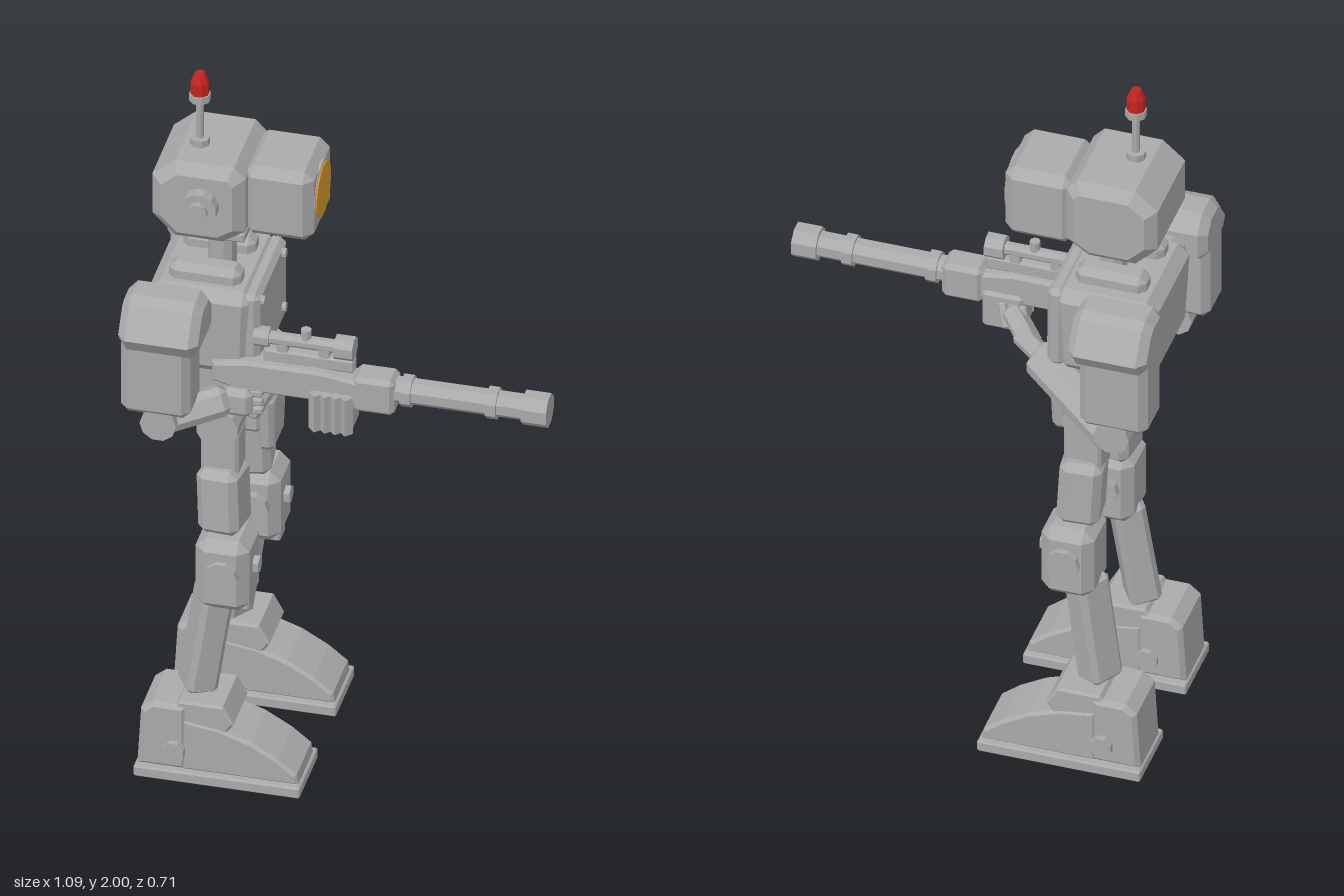
import * as THREE from 'three';
import { ConvexGeometry } from 'three/addons/geometries/ConvexGeometry.js';

const mat = (name, color) => {
  const m = new THREE.MeshStandardMaterial({ color });
  m.name = name;
  return m;
};

export function createModel() {
  const metal = mat('grey metal', 0xaaaaaa);
  const red = mat('signal red', 0xc42420);
  const amber = mat('lens amber', 0xd6982a);
  const root = new THREE.Group();
  root.name = 'robot';

  const add = (parent, name, geo, material = metal) => {
    const m = new THREE.Mesh(geo, material);
    m.name = name;
    parent.add(m);
    return m;
  };

  // Box with chamfered edges; tx, tz scale the lower end
  const chamfer = (w, h, d, c, tx = 1, tz = 1) => {
    const pts = [];
    for (const sx of [-1, 1]) for (const sy of [-1, 1]) for (const sz of [-1, 1]) {
      for (const [a, b, e] of [[0, c, c], [c, 0, c], [c, c, 0]]) {
        const kx = sy < 0 ? tx : 1, kz = sy < 0 ? tz : 1;
        pts.push(new THREE.Vector3(sx * (w / 2 - a) * kx, sy * (h / 2 - b), sz * (d / 2 - e) * kz));
      }
    }
    return new ConvexGeometry(pts);
  };

  // Chamfered box given by its limits
  const block = (parent, name, [x0, x1], [y0, y1], [z0, z1], c = 0.012, tx = 1, tz = 1) => {
    const m = add(parent, name, chamfer(x1 - x0, y1 - y0, z1 - z0, c, tx, tz));
    m.position.set((x0 + x1) / 2, (y0 + y1) / 2, (z0 + z1) / 2);
    return m;
  };

  // Cylinder along an axis
  const rod = (parent, name, axis, pos, r, len, sides = 8, r2 = r, material = metal) => {
    const g = new THREE.CylinderGeometry(r2, r, len, sides).toNonIndexed();
    g.computeVertexNormals();
    g.rotateY(Math.PI / sides);
    if (axis === 'x') g.rotateZ(-Math.PI / 2);
    if (axis === 'z') g.rotateX(Math.PI / 2);
    const m = add(parent, name, g, material);
    m.position.set(...pos);
    return m;
  };

  // Chamfered bar between two points
  const link = (parent, name, a, b, w, d, c = 0.015) => {
    const p = new THREE.Vector3(...a), q = new THREE.Vector3(...b);
    const m = add(parent, name, chamfer(w, p.distanceTo(q), d, c));
    m.position.copy(p).add(q).multiplyScalar(0.5);
    m.quaternion.setFromUnitVectors(new THREE.Vector3(0, 1, 0), q.sub(p).normalize());
    return m;
  };

  // Extruded outline with a bevel, within [z0, z1]
  const prism = (outline, z0, z1, bevel = 0.01) => {
    const g = new THREE.ExtrudeGeometry(new THREE.Shape(outline.map(p => new THREE.Vector2(...p))), {
      depth: z1 - z0 - 2 * bevel, bevelThickness: bevel, bevelSize: bevel, bevelOffset: -bevel, bevelSegments: 1,
    });
    g.translate(0, 0, z0 + bevel);
    return g;
  };

  const group = name => {
    const g = new THREE.Group();
    g.name = name;
    root.add(g);
    return g;
  };

  // Head with snout, lens, ear and aerial
  const head = group('head');
  add(head, 'skull', prism([[-0.515, 1.61], [-0.455, 1.55], [-0.33, 1.55], [-0.27, 1.59], [-0.27, 1.75],
    [-0.3, 1.782], [-0.455, 1.782], [-0.515, 1.73]], -0.167, 0.117, 0.028));
  block(head, 'snout', [-0.285, -0.1], [1.56, 1.77], [-0.143, 0.07], 0.025);
  rod(head, 'lensRim', 'x', [-0.104, 1.668, -0.037], 0.083, 0.012, 20);
  rod(head, 'lens', 'x', [-0.0985, 1.668, -0.037], 0.077, 0.008, 20, 0.074, amber);
  rod(head, 'earDisc', 'z', [-0.38, 1.675, 0.128], 0.048, 0.04, 12);
  rod(head, 'earCap', 'z', [-0.38, 1.675, 0.155], 0.026, 0.018, 12);
  rod(head, 'aerialBase', 'y', [-0.412, 1.79, 0], 0.026, 0.024);
  rod(head, 'aerial', 'y', [-0.412, 1.86, 0], 0.01, 0.15);
  rod(head, 'lampSocket', 'y', [-0.412, 1.927, 0], 0.028, 0.022);
  rod(head, 'lamp', 'y', [-0.412, 1.955, 0], 0.025, 0.036, 8, 0.025, red);
  rod(head, 'lampTip', 'y', [-0.412, 1.9865, 0], 0.025, 0.027, 8, 0.013, red);

  // Torso
  const torso = group('torso');
  rod(torso, 'neck', 'y', [-0.352, 1.48, 0], 0.037, 0.16, 10);
  block(torso, 'neckCollar', [-0.4, -0.28], [1.53, 1.56], [-0.06, 0.06], 0.006);
  block(torso, 'chest', [-0.515, -0.235], [1.17, 1.43], [-0.17, 0.155], 0.03, 0.93, 0.95);
  block(torso, 'chestPlate', [-0.27, -0.222], [1.185, 1.425], [-0.16, 0.138], 0.014);
  for (const [y, z] of [[1.402, 0.112], [1.402, -0.11], [1.235, -0.11]])
    rod(torso, 'chestBolt', 'x', [-0.22, y, z], 0.013, 0.016);
  for (const s of [-1, 1]) {
    block(torso, 'collarBlock', [-0.47, -0.28], [1.4, 1.472], [s * 0.075 - 0.035, s * 0.075 + 0.035], 0.018);
    rod(torso, 'shoulderAxle', 'z', [-0.44, 1.36, s * 0.17], 0.06, 0.08, 10);
  }
  block(torso, 'waist', [-0.42, -0.28], [1.02, 1.2], [-0.075, 0.075], 0.02, 0.9, 0.9);

  // Pelvis with a front shield and a sloping rear plate
  block(torso, 'pelvisBlock', [-0.39, -0.23], [0.96, 1.08], [-0.075, 0.08], 0.015);
  block(torso, 'frontShield', [-0.25, -0.2], [0.9, 1.07], [-0.072, 0.078], 0.014, 0.9, 0.8);
  link(torso, 'rearPlate', [-0.425, 1.11, 0], [-0.37, 0.91, 0], 0.035, 0.14, 0.01);

  // Shoulders and upper arms
  for (const s of [-1, 1]) {
    const arm = group(s > 0 ? 'rightUpperArm' : 'leftUpperArm');
    const pad = prism([[0.165, 1.36], [0.19, 1.34], [0.325, 1.34], [0.355, 1.385], [0.3, 1.462],
      [0.27, 1.475], [0.205, 1.475], [0.165, 1.43]].map(([z, y]) => [s * z, y]), 0.335, 0.545, 0.022);
    pad.rotateY(-Math.PI / 2);
    add(arm, 'shoulderPad', pad);
    block(arm, 'upperArm', [-0.543, -0.36], [1.14, 1.38], [s * 0.259 - 0.067, s * 0.259 + 0.067], 0.02);
    rod(arm, 'elbow', 'z', [-0.445, 1.11, s * 0.262], 0.048, 0.1, 10);
  }

  // Left forearm reaching across the body to the weapon
  const leftArm = group('leftForearm');
  link(leftArm, 'forearm', [-0.45, 1.095, -0.28], [-0.17, 1.11, -0.035], 0.1, 0.1, 0.02);
  link(leftArm, 'wrist', [-0.19, 1.11, -0.05], [-0.09, 1.115, 0.03], 0.05, 0.05, 0.012);
  link(leftArm, 'hand', [-0.13, 1.1, 0.01], [-0.05, 1.14, 0.09], 0.05, 0.065, 0.012);
  for (const i of [0, 1, 2])
    link(leftArm, 'finger', [-0.1 + i * 0.027, 1.1, 0.06], [-0.08 + i * 0.027, 1.16, 0.085], 0.02, 0.02, 0.004);

  // Right forearm holding the grip
  const rightArm = group('rightForearm');
  link(rightArm, 'forearm', [-0.45, 1.1, 0.265], [-0.29, 1.14, 0.19], 0.08, 0.085, 0.018);
  block(rightArm, 'hand', [-0.31, -0.23], [1.08, 1.16], [0.1, 0.19], 0.015);
  for (const i of [0, 1, 2])
    block(rightArm, 'finger', [-0.24, -0.205], [1.085 + i * 0.026, 1.107 + i * 0.026], [0.1, 0.17], 0.005);

  // Weapon
  const gun = group('weapon'), zg = 0.128;
  add(gun, 'receiver', prism([[-0.34, 1.17], [-0.27, 1.15], [0.05, 1.15], [0.05, 1.225], [-0.05, 1.24],
    [-0.24, 1.24], [-0.34, 1.225]], 0.095, 0.168, 0.008));
  block(gun, 'handguard', [0.03, 0.14], [1.135, 1.24], [0.087, 0.17], 0.012);
  link(gun, 'grip', [-0.2, 1.16, zg], [-0.25, 1.06, zg], 0.055, 0.05, 0.01);
  block(gun, 'magazine', [-0.08, 0.03], [1.07, 1.18], [0.085, 0.172], 0.008);
  for (let i = 0; i < 4; i++)
    rod(gun, 'coolingRib', 'y', [-0.063 + i * 0.027, 1.13, 0.178], 0.018, 0.11, 4).rotation.y = Math.PI / 4;
  rod(gun, 'barrel', 'x', [0.32, 1.198, zg], 0.035, 0.4);
  rod(gun, 'muzzle', 'x', [0.508, 1.198, zg], 0.046, 0.066);
  for (const x of [0.168, 0.393]) rod(gun, 'barrelRing', 'x', [x, 1.198, zg], 0.043, 0.028);
  block(gun, 'rail', [-0.21, 0.03], [1.235, 1.275], [0.112, 0.145], 0.006);
  rod(gun, 'scope', 'x', [-0.11, 1.303, zg], 0.018, 0.22);
  rod(gun, 'scopeFront', 'x', [0.003, 1.303, zg], 0.033, 0.05);
  rod(gun, 'scopeEyepiece', 'x', [-0.215, 1.303, zg], 0.027, 0.04);
  rod(gun, 'scopeKnob', 'y', [-0.1, 1.325, zg], 0.014, 0.036);
  for (const x of [-0.16, -0.05]) block(gun, 'scopeMount', [x - 0.015, x + 0.015], [1.25, 1.3], [0.113, 0.143], 0.004);

  // Legs
  for (const s of [-1, 1]) {
    const leg = group(s > 0 ? 'rightLeg' : 'leftLeg');
    const zz = (a, b) => s > 0 ? [a, b] : [-b, -a];
    rod(leg, 'hip', 'z', [-0.325, 1.02, s * 0.118], 0.056, 0.1, 12);
    block(leg, 'hipLink', [-0.37, -0.27], [0.86, 1.01], zz(0.08, 0.165), 0.008);
    link(leg, 'thigh', [-0.318, 0.9, s * 0.136], [-0.31, 0.712, s * 0.145], 0.125, 0.112, 0.02);
    block(leg, 'knee', [-0.37, -0.228], [0.505, 0.717], zz(0.088, 0.242), 0.028);
    rod(leg, 'kneeAxle', 'z', [-0.295, 0.622, s * 0.162], 0.045, 0.19, 10);
    rod(leg, 'kneeBolt', 'x', [-0.225, 0.622, s * 0.163], 0.024, 0.025, 6);
    block(leg, 'kneeStop', [-0.29, -0.235], [0.487, 0.53], zz(0.135, 0.19), 0.006);
    link(leg, 'shin', [-0.33, 0.54, s * 0.165], [-0.375, 0.23, s * 0.178], 0.085, 0.098, 0.014);

    // Foot
    block(leg, 'sole', [-0.515, -0.078], [0, 0.032], zz(0.093, 0.29), 0.004);
    add(leg, 'heel', prism([[-0.51, 0.03], [-0.38, 0.03], [-0.38, 0.225], [-0.47, 0.225], [-0.5, 0.2]],
      ...zz(0.105, 0.277), 0.012));
    add(leg, 'toeCap', prism([[-0.39, 0.03], [-0.085, 0.03], [-0.09, 0.06], [-0.14, 0.1], [-0.21, 0.14],
      [-0.29, 0.168], [-0.39, 0.182]], ...zz(0.107, 0.275), 0.008));
    add(leg, 'ankleGuard', prism([[-0.42, 0.15], [-0.28, 0.15], [-0.257, 0.185], [-0.285, 0.236],
      [-0.4, 0.236], [-0.42, 0.21]], ...zz(0.11, 0.27), 0.006));
    rod(leg, 'ankleBolt', 'z', [-0.41, 0.09, s * 0.191], 0.03, 0.205, 8);
  }
  return root;
}
